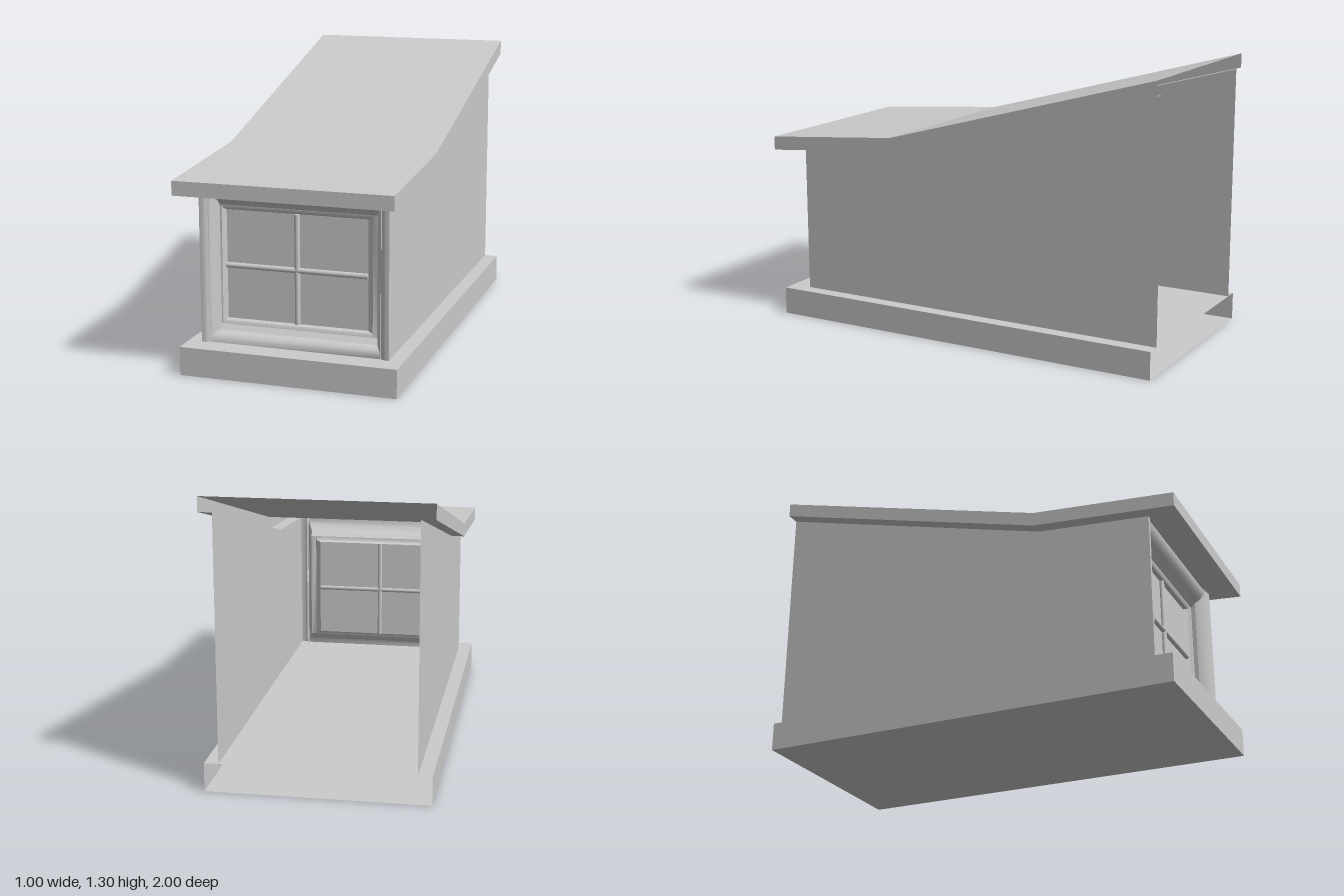
import * as THREE from 'three';
import { toCreasedNormals } from 'three/addons/utils/BufferGeometryUtils.js';

const material = new THREE.MeshStandardMaterial({ color: 0xcccccc, side: THREE.DoubleSide });

// Shell made of quads between successive cross-sections, each a list of [x, y, z]
function loft(name, sections, crease = 0.1) {
  const n = sections[0].length;
  const index = [];
  for (let r = 0; r < sections.length - 1; r++) {
    for (let i = 0; i < n - 1; i++) {
      const a = r * n + i, b = a + 1, c = a + n, d = c + 1;
      index.push(a, b, d, a, d, c);
    }
  }
  const geometry = new THREE.BufferGeometry();
  geometry.setAttribute('position', new THREE.Float32BufferAttribute(sections.flat(2), 3));
  geometry.setIndex(index);
  const mesh = new THREE.Mesh(toCreasedNormals(geometry, crease), material);
  mesh.name = name;
  return mesh;
}

// Closed rectangular outline, facing +z
const outline = ([x0, x1, y0, y1, z]) =>
  [[x0, y0, z], [x1, y0, z], [x1, y1, z], [x0, y1, z], [x0, y0, z]];

// Polyline of [z, y] points placed at a given x
const at = (x, line) => line.map(([z, y]) => [x, y, z]);

const LEFT = 0.43, RIGHT = -0.437, FRONT = 0.86;
const roofTop = [[1, 0.885], [0.33, 0.94], [-1, 1.305]];
const roofBottom = [[1, 0.82], [0.33, 0.875], [-1, 1.238]];
const wallTop = [[FRONT, 0.831], [0.33, 0.875], [-1, 1.238]];
const wallBottom = wallTop.map(([z]) => [z, 0.13]);

function createBase() {
  // Hollow plinth, open at the back
  const x0 = -0.5, x1 = 0.495, h = 0.13, z0 = -1, z1 = 0.96;
  const base = new THREE.Group();
  base.name = 'base';
  base.add(loft('baseShell', [outline([x0, x1, 0, h, z0]), outline([x0, x1, 0, h, z1])]));
  base.add(loft('baseFront', [
    [[x0, 0, z1], [x1, 0, z1]],
    [[x0, h, z1], [x1, h, z1]],
  ]));
  return base;
}

function createRoof() {
  // Thin top sheet with fascias and soffits, open at the back
  const x0 = -0.5, x1 = 0.492;
  const roof = new THREE.Group();
  roof.name = 'roof';
  roof.add(loft('roofSheet', [at(x0, roofTop), at(x1, roofTop)]));
  for (const [side, edge, wall] of [['left', x1, LEFT], ['right', x0, RIGHT]]) {
    roof.add(loft(side + 'Fascia', [at(edge, roofTop), at(edge, roofBottom)]));
    roof.add(loft(side + 'Soffit', [at(edge, roofBottom), at(wall, roofBottom)]));
  }
  roof.add(loft('frontFascia', [
    [[x0, 0.82, 1], [x1, 0.82, 1]],
    [[x0, 0.885, 1], [x1, 0.885, 1]],
  ]));
  roof.add(loft('frontSoffit', [
    [[RIGHT, 0.82, 1], [LEFT, 0.82, 1]],
    [[RIGHT, 0.831, FRONT], [LEFT, 0.831, FRONT]],
  ]));
  return roof;
}

function createPost(name, x, inward) {
  // Corner post with its inner front edge rounded
  const arc = [[0, FRONT], [0.014, FRONT], [0.027, 0.857], [0.036, 0.851], [0.041, 0.842], [0.041, 0.8]];
  const row = (y) => arc.map(([d, z]) => [x + inward * d, y, z]);
  return loft(name, [row(0.13), row(0.832)], 0.8);
}

function createWindow() {
  const group = new THREE.Group();
  group.name = 'window';
  // Rounded surround: x0, x1, y0, y1, z of each step inwards
  group.add(loft('windowSurround', [
    [-0.4, 0.39, 0.13, 0.832, 0.85],
    [-0.396, 0.386, 0.147, 0.82, 0.848],
    [-0.39, 0.38, 0.163, 0.8, 0.838],
    [-0.38, 0.37, 0.173, 0.78, 0.824],
    [-0.37, 0.362, 0.177, 0.765, 0.805],
  ].map(outline), 0.8));
  group.add(loft('windowReveal', [
    [-0.37, 0.362, 0.177, 0.765, 0.805],
    [-0.37, 0.362, 0.2, 0.745, 0.785],
  ].map(outline)));
  // Sash frame stepping down to the glass
  group.add(loft('sash', [
    [-0.37, 0.362, 0.2, 0.745, 0.785],
    [-0.362, 0.335, 0.2, 0.742, 0.785],
    [-0.355, 0.33, 0.215, 0.727, 0.776],
    [-0.348, 0.308, 0.222, 0.72, 0.76],
  ].map(outline), 0.6));

  const glass = new THREE.Mesh(new THREE.PlaneGeometry(0.656, 0.498), material);
  glass.name = 'glass';
  glass.position.set(-0.02, 0.471, 0.76);
  group.add(glass);

  // Round glazing bars
  const bar = (name, length, x, y, turn) => {
    const mesh = new THREE.Mesh(new THREE.CylinderGeometry(0.0125, 0.0125, length, 16), material);
    mesh.name = name;
    mesh.position.set(x, y, 0.766);
    mesh.rotation.z = turn;
    group.add(mesh);
  };
  bar('verticalBar', 0.498, -0.016, 0.471, 0);
  bar('horizontalBar', 0.656, -0.02, 0.468, Math.PI / 2);
  return group;
}

export function createModel() {
  const model = new THREE.Group();
  model.name = 'dormer';
  model.add(createBase(), createRoof(), createWindow());
  model.add(loft('leftWall', [at(LEFT, wallTop), at(LEFT, wallBottom)]));
  model.add(loft('rightWall', [at(RIGHT, wallTop), at(RIGHT, wallBottom)]));
  model.add(createPost('leftPost', LEFT, -1), createPost('rightPost', RIGHT, 1));
  return model;
}
